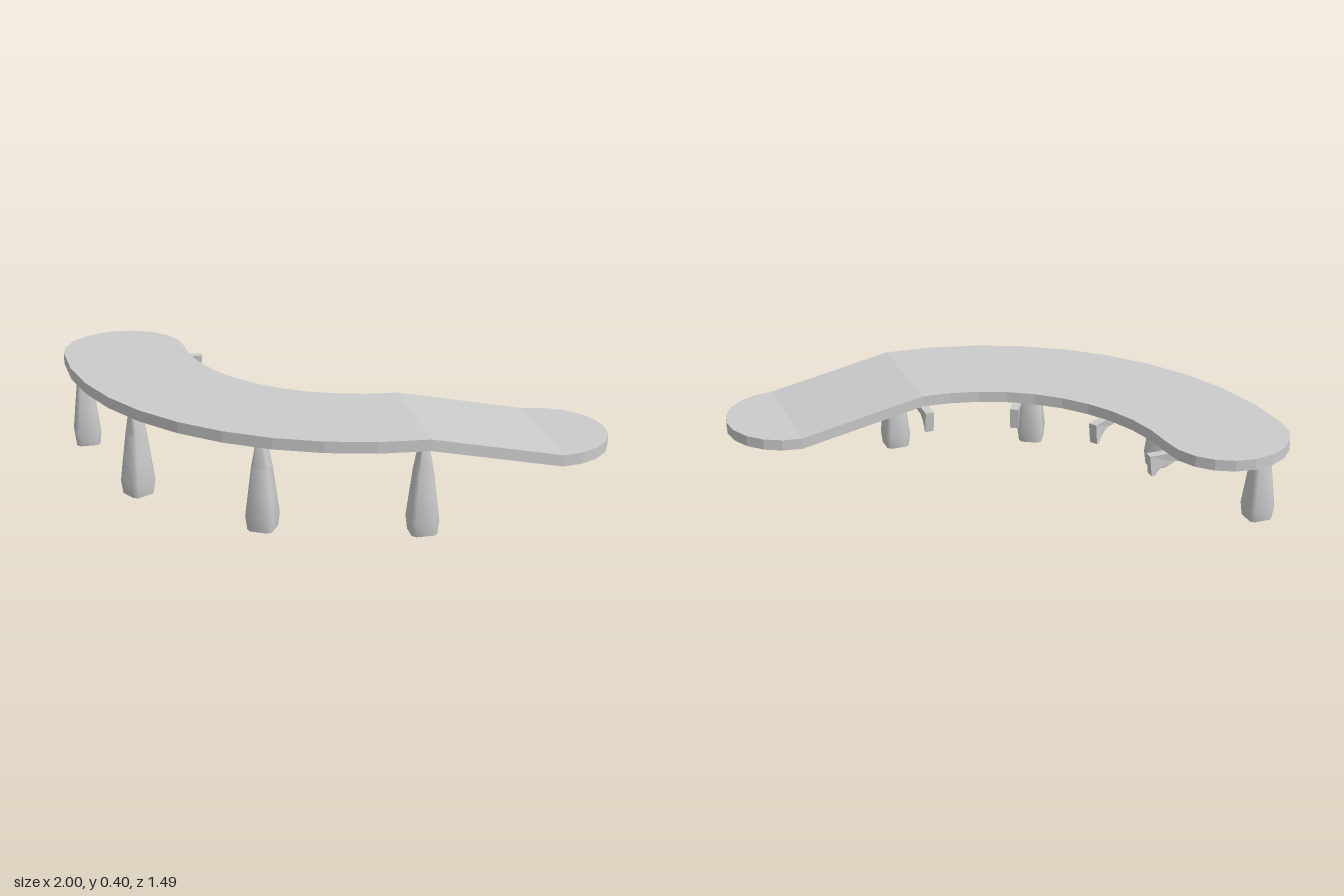
import * as THREE from 'three';
import { toCreasedNormals } from 'three/addons/utils/BufferGeometryUtils.js';

const CX = 0.24, CZ = -0.5;        // centre of the curved plan
const MID = 0.99, HALF = 0.25;     // centreline radius and half width of the top

// Skin a list of equal-sized rings, with a cap at either end
function loft(rings) {
  const pos = [], n = rings[0].length;
  const tri = (...pts) => pts.forEach((p) => pos.push(...p));
  for (let i = 0; i < rings.length - 1; i++) {
    const r = rings[i], s = rings[i + 1];
    for (let k = 0; k < n; k++) {
      const m = (k + 1) % n;
      tri(r[k], s[k], s[m]);
      tri(r[k], s[m], r[m]);
    }
  }
  const end = rings[rings.length - 1];
  for (let k = 1; k < n - 1; k++) {
    tri(rings[0][0], rings[0][k], rings[0][k + 1]);
    tri(end[0], end[k + 1], end[k]);
  }
  const geo = new THREE.BufferGeometry();
  geo.setAttribute('position', new THREE.Float32BufferAttribute(pos, 3));
  geo.computeVertexNormals();
  return geo;
}

// Four-cornered slab section; (nx, nz) points to the outer edge
function slabRing(x, z, nx, nz, half) {
  const drop = 0.105 * THREE.MathUtils.clamp((x - CX) / 0.51, 0, 1);
  const top = 0.4 - drop, bottom = 0.355 - drop;
  const ox = x + nx * half, oz = z + nz * half;
  const ix = x - nx * half, iz = z - nz * half;
  return [[ox, top, oz], [ix, top, iz], [ix, bottom, iz], [ox, bottom, oz]];
}

function slabGeometry() {
  const rings = [];
  // rounded back end
  for (let i = 0; i < 5; i++) {
    const a = (i * Math.PI) / 10;
    rings.push(slabRing(CX - MID, CZ - HALF * Math.cos(a), -1, 0, HALF * Math.sin(a)));
  }
  // quarter-circle sweep
  for (let i = 0; i <= 10; i++) {
    const a = (i * Math.PI) / 20, c = -Math.cos(a), s = Math.sin(a);
    rings.push(slabRing(CX + c * MID, CZ + s * MID, c, s, HALF));
  }
  // ramp and lowered rounded end
  for (let i = 0; i <= 5; i++) {
    const a = (i * Math.PI) / 10;
    rings.push(slabRing(0.75 + HALF * Math.sin(a), CZ + MID, 0, 1, HALF * Math.cos(a)));
  }
  return loft(rings);
}

// Chamfered-square leg section: radial half width, tangential half width
function legRing(y, hx, hz) {
  const c = 0.7;
  return [[1, c], [c, 1], [-c, 1], [-1, c], [-1, -c], [-c, -1], [c, -1], [1, -c]]
    .map(([x, z]) => [x * hx, y, z * hz]);
}

// Bar under the top with a hook at its inner end, flared towards the tip
function bracketGeometry() {
  const s = new THREE.Shape();
  s.moveTo(1.175, 0.356);
  s.lineTo(0.66, 0.356);
  s.lineTo(0.67, 0.27);
  s.lineTo(0.685, 0.27);
  s.quadraticCurveTo(0.705, 0.308, 0.76, 0.315);
  s.lineTo(1.175, 0.315);
  const geo = new THREE.ExtrudeGeometry(s, { depth: 1, bevelEnabled: false, curveSegments: 5 });
  geo.translate(0, 0, -0.5);
  const p = geo.attributes.position;
  for (let i = 0; i < p.count; i++) {
    const flare = THREE.MathUtils.clamp((0.76 - p.getX(i)) / 0.1, 0, 1);
    p.setZ(i, p.getZ(i) * (0.02 + 0.016 * flare));
  }
  geo.computeVertexNormals();
  return geo;
}

export function createModel() {
  const model = new THREE.Group();
  model.name = 'curvedBench';
  const smooth = new THREE.MeshStandardMaterial({ color: 0xcccccc });
  const flat = new THREE.MeshStandardMaterial({ color: 0xcccccc, flatShading: true });
  const add = (parent, name, geo, mat) => {
    const mesh = new THREE.Mesh(geo, mat);
    mesh.name = name;
    parent.add(mesh);
    return mesh;
  };

  add(model, 'benchTop', slabGeometry(), flat);

  const legGeo = toCreasedNormals(loft([
    legRing(0, 0.049, 0.049),
    legRing(0.055, 0.055, 0.055),
    legRing(0.15, 0.045, 0.045),
    legRing(0.25, 0.034, 0.034),
  ]), 0.9);
  const neckGeo = toCreasedNormals(loft([
    legRing(0.25, 0.034, 0.034),
    legRing(0.355, 0.022, 0.016),
  ]), 0.9);
  const bracketGeo = bracketGeometry();

  // four supports fanned around the centre of the curve
  for (let i = 0; i < 4; i++) {
    const support = new THREE.Group();
    support.name = 'support' + (i + 1);
    support.position.set(CX - 0.005, 0, CZ + 0.005);
    support.rotation.y = -Math.PI / 2 - (i * Math.PI) / 6;
    add(support, 'leg', legGeo, smooth).position.x = 1.155;
    add(support, 'legNeck', neckGeo, smooth).position.x = 1.155;
    add(support, 'bracket', bracketGeo, flat);
    model.add(support);
  }
  return model;
}
